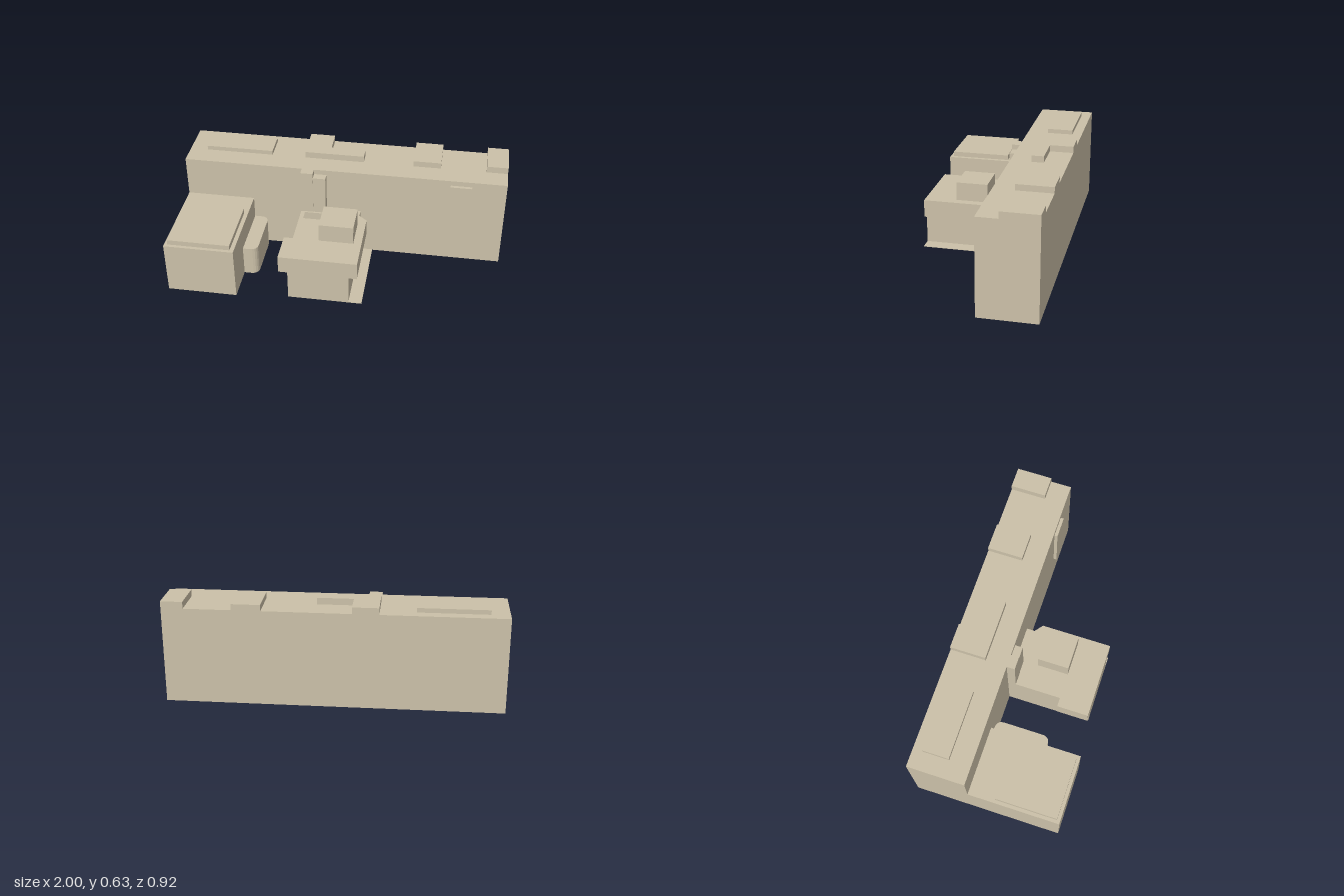
import * as THREE from 'three';

const material = new THREE.MeshStandardMaterial({ color: 0xcbc0a8, flatShading: true });

export function createModel() {
  const model = new THREE.Group();

  const add = (name, geometry) => {
    const mesh = new THREE.Mesh(geometry, material);
    mesh.name = name;
    model.add(mesh);
    return mesh;
  };

  // Box given by its limits on each axis
  const block = (name, [x0, x1], [y0, y1], [z0, z1]) =>
    add(name, new THREE.BoxGeometry(x1 - x0, y1 - y0, z1 - z0))
      .position.set((x0 + x1) / 2, (y0 + y1) / 2, (z0 + z1) / 2);

  // Floor plan of [x, z] corners raised from y0 to y1
  const plan = (points) => points.map(([x, z]) => new THREE.Vector2(x, -z));
  const raise = (name, shape, y0, y1) => {
    const geometry = new THREE.ExtrudeGeometry(shape, { depth: y1 - y0, bevelEnabled: false, curveSegments: 5 });
    geometry.rotateX(-Math.PI / 2);
    add(name, geometry).position.y = y0;
  };

  // Long main building
  block('mainBuilding', [-1, 1], [0, 0.585], [-0.46, -0.11]);

  // Rooftop units
  block('roofUnitLong', [-0.89, -0.47], [0.585, 0.612], [-0.4, -0.24]);
  raise('roofUnitAngled', new THREE.Shape(plan([
    [-0.26, -0.46], [-0.105, -0.46], [-0.105, -0.315], [0.11, -0.315], [0.11, -0.24], [-0.26, -0.24],
  ])), 0.585, 0.625);
  block('roofUnitSmall', [0.42, 0.59], [0.585, 0.622], [-0.46, -0.24]);
  block('roofUnitEnd', [0.87, 1], [0.585, 0.626], [-0.46, -0.24]);

  // Raised panel on the front wall
  block('wallPanel', [0.66, 0.79], [0.22, 0.553], [-0.11, -0.09]);

  // Side wing with its roof cap
  block('sideWing', [-1, -0.575], [0, 0.33], [-0.11, 0.455]);
  block('sideWingCap', [-0.98, -0.6], [0.33, 0.362], [0.055, 0.435]);

  // Low annex with rounded outer corners
  const annex = new THREE.Shape();
  annex.moveTo(-0.575, 0.11);
  annex.lineTo(-0.535, 0.11);
  annex.quadraticCurveTo(-0.485, 0.11, -0.485, 0.06);
  annex.lineTo(-0.485, -0.185);
  annex.quadraticCurveTo(-0.485, -0.235, -0.535, -0.235);
  annex.lineTo(-0.575, -0.235);
  raise('roundedAnnex', annex, 0, 0.19);

  // Entrance hall, its overhanging upper storey with a roof well, and the rooftop box
  block('entranceHall', [-0.26, 0.11], [0, 0.19], [-0.11, 0.42]);
  const upper = new THREE.Shape(plan([
    [-0.26, -0.11], [0.11, -0.11], [0.11, -0.06], [0.16, -0.02],
    [0.16, 0.42], [-0.315, 0.42], [-0.315, 0.225], [-0.26, 0.225],
  ]));
  upper.holes.push(new THREE.Path(plan([[-0.235, -0.05], [-0.125, -0.05], [-0.125, 0.015], [-0.235, 0.015]])));
  raise('entranceUpperStorey', upper, 0.19, 0.3);
  block('entranceRoofBox', [-0.1, 0.11], [0.3, 0.415], [0.03, 0.225]);

  // Thin paving strip beside the hall
  block('pavingStrip', [0.11, 0.19], [0, 0.003], [-0.11, 0.42]);

  // Shaft against the main wall, in two heights
  block('shaftTall', [-0.26, -0.183], [0.3, 0.585], [-0.11, -0.06]);
  block('shaftShort', [-0.183, -0.105], [0.3, 0.553], [-0.11, -0.062]);

  return model;
}
